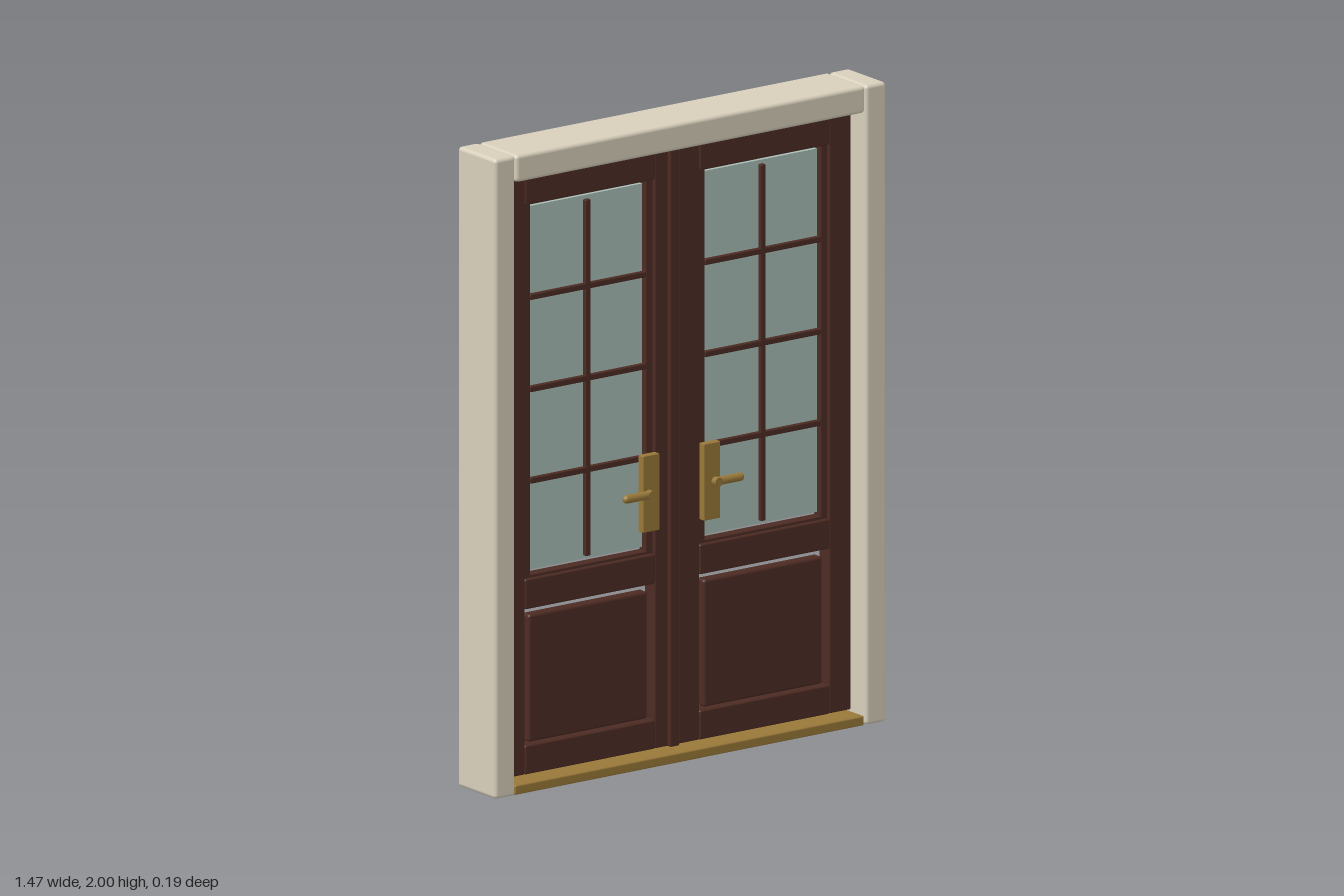
import * as THREE from 'three';
import { RoundedBoxGeometry } from 'three/addons/geometries/RoundedBoxGeometry.js';

const mat = (name, color) => Object.assign(new THREE.MeshStandardMaterial({ color }), { name });

export function createModel() {
  const cream = mat('cream frame', 0xd8cfbb);
  const wood = mat('dark wood', 0x4c2b23);
  const brass = mat('brass', 0x987839);
  const glass = mat('pale glass', 0xa9beb7);

  // Softened box given by its limits on each axis
  function block(parent, name, material, [x0, x1], [y0, y1], [z0, z1], r = 0.006) {
    const w = x1 - x0, h = y1 - y0, d = z1 - z0;
    const geo = r ? new RoundedBoxGeometry(w, h, d, 2, r) : new THREE.BoxGeometry(w, h, d);
    const mesh = new THREE.Mesh(geo, material);
    mesh.name = name;
    mesh.position.set((x0 + x1) / 2, (y0 + y1) / 2, (z0 + z1) / 2);
    parent.add(mesh);
    return mesh;
  }
  // Limits mirrored to the given side
  const mirror = (s, a, b) => (s > 0 ? [a, b] : [-b, -a]);

  const model = new THREE.Group();
  model.name = 'doubleDoor';

  // Outer frame with door stops behind the leaves
  const frame = new THREE.Group();
  frame.name = 'frame';
  model.add(frame);
  const depth = [-0.096, 0.096];
  for (const s of [-1, 1]) {
    block(frame, 'jamb', cream, mirror(s, 0.656, 0.733), [0, 2], depth, 0.012);
    block(frame, 'sideStop', cream, mirror(s, 0.636, 0.658), [0.03, 1.915], [-0.085, -0.032], 0.003);
  }
  block(frame, 'lintel', cream, [-0.654, 0.654], [1.915, 2], depth, 0.012);
  block(frame, 'topStop', cream, [-0.654, 0.654], [1.89, 1.917], [-0.085, -0.032], 0.003);
  block(frame, 'threshold', brass, [-0.654, 0.654], [0, 0.03], [-0.09, 0.09], 0.005);

  // Two mirrored leaves
  for (const s of [-1, 1]) {
    const leaf = new THREE.Group();
    leaf.name = s > 0 ? 'leftLeaf' : 'rightLeaf';
    model.add(leaf);
    const stileZ = [-0.027, 0.027], railZ = [-0.029, 0.029];

    for (const [a, b] of [[0.004, 0.085], [0.569, 0.652]])
      block(leaf, 'stile', wood, mirror(s, a, b), [0.036, 1.906], stileZ);
    for (const [a, b] of [[0.036, 0.127], [0.552, 0.646], [1.815, 1.906]])
      block(leaf, 'rail', wood, mirror(s, 0.083, 0.571), [a, b], railZ);
    block(leaf, 'lowerPanel', wood, mirror(s, 0.105, 0.55), [0.132, 0.53], [-0.02, 0.02], 0.009);

    // Glazing beads, pane and bars
    for (const [a, b] of [[0.085, 0.111], [0.544, 0.569]])
      block(leaf, 'sideBead', wood, mirror(s, a, b), [0.64, 1.818], [-0.018, 0.018], 0.004);
    block(leaf, 'bottomBead', wood, mirror(s, 0.085, 0.569), [0.64, 0.656], [-0.018, 0.018], 0.004);
    block(leaf, 'pane', glass, mirror(s, 0.116, 0.539), [0.668, 1.804], [-0.006, 0.006], 0);
    block(leaf, 'verticalBar', wood, mirror(s, 0.319, 0.337), [0.678, 1.792], [0.002, 0.02], 0.003);
    for (const y of [0.948, 1.234, 1.522])
      block(leaf, 'crossBar', wood, mirror(s, 0.11, 0.545), [y - 0.009, y + 0.009], [0.002, 0.02], 0.003);

    // Handle plate, spindle and lever
    const handle = new THREE.Group();
    handle.name = 'handle';
    leaf.add(handle);
    block(handle, 'handlePlate', brass, mirror(s, 0.083, 0.145), [0.725, 0.965], [0.025, 0.05], 0.003);
    const spindle = new THREE.Mesh(new THREE.CylinderGeometry(0.014, 0.014, 0.03, 20), brass);
    spindle.name = 'spindle';
    spindle.rotation.x = Math.PI / 2;
    spindle.position.set(s * 0.125, 0.844, 0.055);
    const lever = new THREE.Mesh(new THREE.CapsuleGeometry(0.013, 0.084, 6, 20), brass);
    lever.name = 'lever';
    lever.rotation.z = Math.PI / 2;
    lever.position.set(s * 0.17, 0.844, 0.057);
    handle.add(spindle, lever);
  }

  // Cover strip over the meeting stiles
  block(model, 'coverStrip', wood, [-0.037, -0.002], [0.036, 1.912], [0.02, 0.042], 0.005);
  return model;
}
